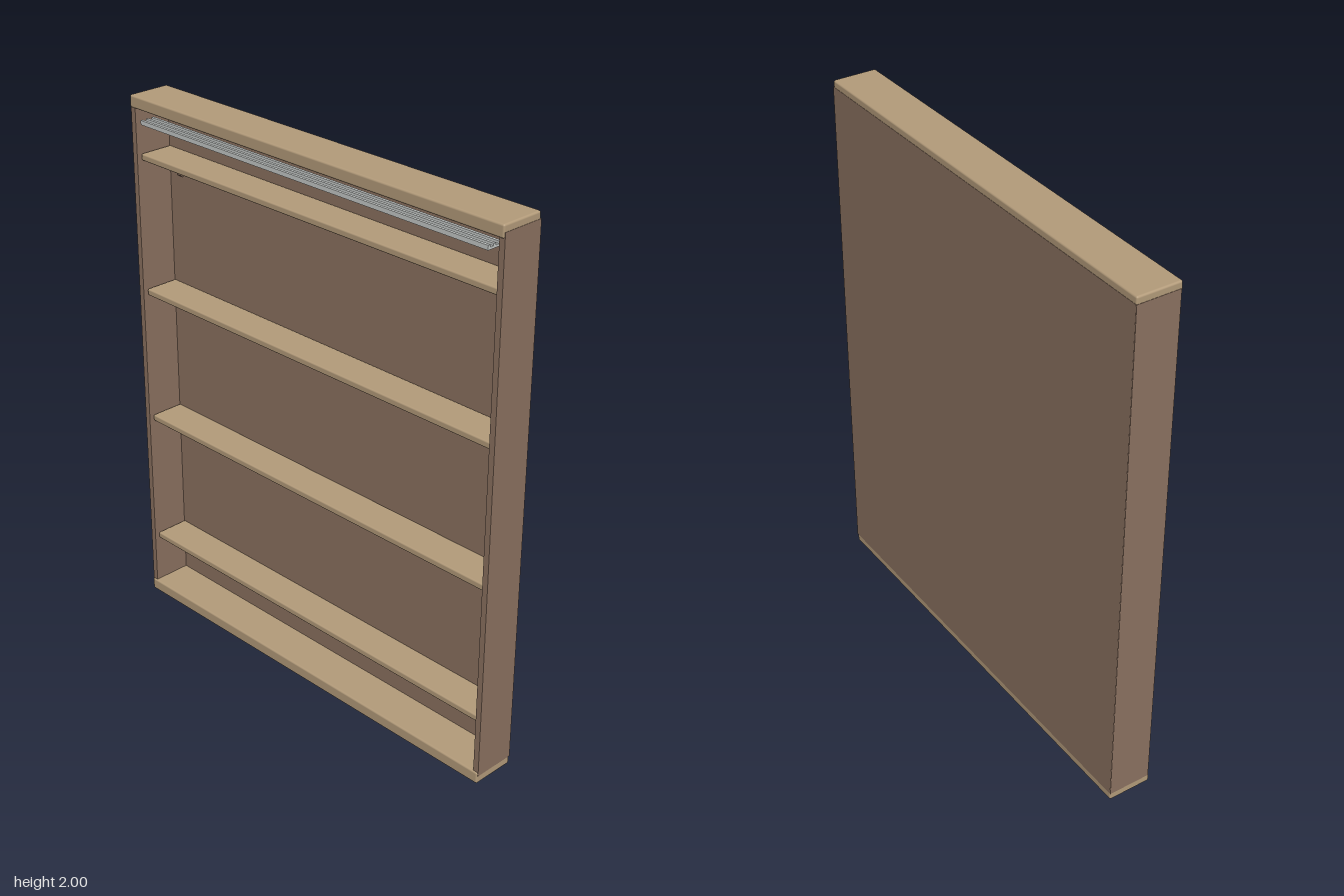
import * as THREE from 'three';
import { RoundedBoxGeometry } from 'three/addons/geometries/RoundedBoxGeometry.js';

const mat = (name, color) => new THREE.MeshStandardMaterial({ name, color });

export function createModel() {
  const root = new THREE.Group();
  root.name = 'wallShelf';
  const oak = mat('lightOak', 0xb39b7a);
  const brown = mat('brownPanel', 0x8b7160);
  const metal = mat('lightMetal', 0xc4c8c6);

  const add = (parent, name, geometry, material, x, y, z) => {
    const mesh = new THREE.Mesh(geometry, material);
    mesh.name = name;
    mesh.position.set(x, y, z);
    parent.add(mesh);
    return mesh;
  };

  // Top and bottom boards with softened edges
  const board = new RoundedBoxGeometry(1.692, 0.045, 0.165, 2, 0.007);
  add(root, 'topBoard', board, oak, 0, 1.9775, 0);
  add(root, 'bottomBoard', board, oak, 0, 0.0225, 0);

  // Side panels and back panel, let slightly into the boards
  const side = new THREE.BoxGeometry(0.022, 1.945, 0.16);
  for (const s of [-1, 1]) {
    add(root, s > 0 ? 'leftSide' : 'rightSide', side, brown, s * 0.836, 1.0025, -0.003);
  }
  add(root, 'backPanel', new THREE.BoxGeometry(1.69, 1.945, 0.014), brown, 0, 1.0025, -0.0765);

  // Right-angled bracket profile: x runs forward, y runs up
  const profile = new THREE.Shape();
  profile.moveTo(0, 0);
  profile.lineTo(0.07, 0);
  profile.lineTo(0.07, -0.012);
  profile.lineTo(0.02, -0.014);
  profile.lineTo(0.012, -0.022);
  profile.lineTo(0.012, -0.07);
  profile.lineTo(0.006, -0.075);
  profile.lineTo(0, -0.075);
  profile.closePath();
  const bracket = new THREE.ExtrudeGeometry(profile, { depth: 0.02, bevelEnabled: false });
  bracket.translate(0, 0, -0.01);
  bracket.rotateY(-Math.PI / 2);

  // Four evenly spaced shelves, each on two brackets
  const shelfBoard = new RoundedBoxGeometry(1.645, 0.025, 0.132, 2, 0.006);
  for (let i = 0; i < 4; i++) {
    const shelf = new THREE.Group();
    shelf.name = 'shelf' + (i + 1);
    shelf.position.y = 0.243 + i * 0.511;
    root.add(shelf);
    add(shelf, 'shelfBoard', shelfBoard, oak, 0, 0, -0.004);
    for (const s of [-1, 1]) add(shelf, 'bracket', bracket, brown, s * 0.764, -0.0125, -0.07);
  }

  // Slim metal light rail with raised lips along its length
  const rail = new THREE.Group();
  rail.name = 'lightRail';
  rail.position.set(0, 1.913, 0.054);
  root.add(rail);
  add(rail, 'railBase', new THREE.BoxGeometry(1.58, 0.008, 0.058), metal, 0, -0.004, 0);
  const lip = new THREE.BoxGeometry(1.58, 0.016, 0.01);
  for (const z of [-0.024, 0, 0.024]) add(rail, 'railLip', lip, metal, 0, 0, z);

  return root;
}
